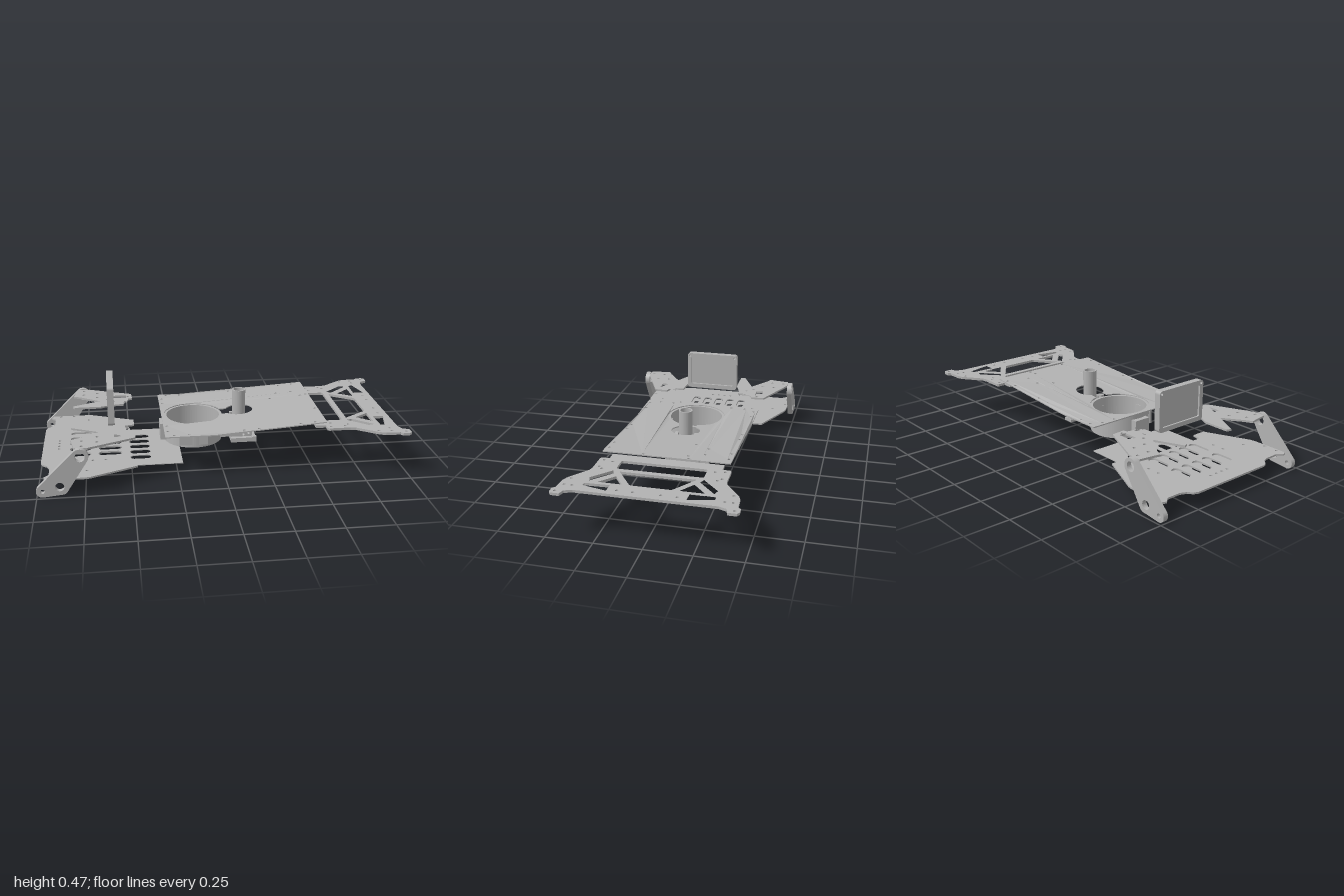
import * as THREE from 'three';

const grey = new THREE.MeshStandardMaterial({ color: 0xb2b2b2 });
grey.name = 'plain grey';

// Hole and outline helpers (2D)
const poly = (pts) => new THREE.Path(pts.map(([x, y]) => new THREE.Vector2(x, y)));
const circle = (x, y, r) => new THREE.Path().absarc(x, y, r, 0, Math.PI * 2, false);
const mirrored = (half) => [...half, ...half.slice().reverse().map(([x, z]) => [x, -z])];
const bothSides = (pts) => [pts, pts.map(([x, z]) => [x, -z])];
const rect = (x0, x1, y0, y1) => [[x0, y0], [x1, y0], [x1, y1], [x0, y1]];

function slot(x0, x1, y, r) {
  return new THREE.Path()
    .absarc(x1 - r, y, r, -Math.PI / 2, Math.PI / 2, false)
    .absarc(x0 + r, y, r, Math.PI / 2, Math.PI * 1.5, false);
}

function arcSlot(cx, r0, r1, a0, a1) {
  return new THREE.Path().absarc(cx, 0, r1, a0, a1, false).absarc(cx, 0, r0, a1, a0, true);
}

function roundedRect(x0, x1, y0, y1, r) {
  return new THREE.Path()
    .absarc(x1 - r, y0 + r, r, -Math.PI / 2, 0, false)
    .absarc(x1 - r, y1 - r, r, 0, Math.PI / 2, false)
    .absarc(x0 + r, y1 - r, r, Math.PI / 2, Math.PI, false)
    .absarc(x0 + r, y0 + r, r, Math.PI, Math.PI * 1.5, false);
}

function extrude(outline, holes, depth, segments = 12) {
  const shape = new THREE.Shape(outline.getPoints(segments));
  shape.holes = holes;
  return new THREE.ExtrudeGeometry(shape, { depth, bevelEnabled: false, curveSegments: segments });
}

// Horizontal plate: outline in x/z, from y0 up by its thickness
const flat = (outline, holes, y0, t, segments) =>
  extrude(outline, holes, t, segments).rotateX(-Math.PI / 2).translate(0, y0, 0);

export function createModel() {
  const model = new THREE.Group();
  const add = (name, geometry, x = 0, y = 0, z = 0) => {
    const mesh = new THREE.Mesh(geometry, grey);
    mesh.name = name;
    mesh.position.set(x, y, z);
    model.add(mesh);
    return mesh;
  };
  const box = (name, x0, x1, y0, y1, z0, z1) =>
    add(name, new THREE.BoxGeometry(x1 - x0, y1 - y0, z1 - z0), (x0 + x1) / 2, (y0 + y1) / 2, (z0 + z1) / 2);
  const screws = (list, r = 0.008) =>
    list.flatMap(([x, z]) => [circle(x, z, r), circle(x, -z, r)]);

  // Main deck, with a joined opening for the wheel and the post, rising towards +x
  const deckOpening = new THREE.Path()
    .absarc(-0.14, 0, 0.165, 0.25, Math.PI * 2 - 0.25, false)
    .absarc(0.125, 0, 0.08, Math.PI + 0.52, Math.PI * 3 - 0.52, false);
  const deckOutline = mirrored([[-0.32, -0.34], [-0.05, -0.34], [0.15, -0.34], [0.35, -0.34], [0.56, -0.34]].reverse());
  const deckScrews = screws([[-0.27, 0.32], [-0.19, 0.32], [0.11, 0.32], [0.19, 0.32], [0.42, 0.32],
    [0.5, 0.32], [-0.3, 0.26], [-0.3, 0.18], [0.545, 0.12]]);
  const deck = flat(poly(deckOutline),
    [deckOpening, ...deckScrews, circle(0.38, 0.19, 0.008), circle(0.47, 0.19, 0.008),
      circle(0.33, 0.11, 0.008), circle(0.51, 0.11, 0.008)], 0, 0.006);
  const p = deck.attributes.position;
  for (let i = 0; i < p.count; i++) {
    p.setY(i, p.getY(i) + 0.237 + Math.max(0, p.getX(i) + 0.05) * 0.074);
  }
  deck.computeVertexNormals();
  add('mainDeck', deck);

  // Rear truss plate
  const rearHalf = [[0.51, 0.3], [0.565, 0.3], [0.565, 0.34], [0.575, 0.348], [0.69, 0.348], [0.72, 0.355],
    [0.83, 0.435], [0.86, 0.445], [0.94, 0.45], [0.95, 0.465], [0.985, 0.465], [1, 0.455],
    [1, 0.41], [0.965, 0.4], [0.95, 0.36]];
  const rearHoles = [
    roundedRect(0.58, 0.675, -0.228, 0.228, 0.012),
    poly([[0.705, -0.2], [0.835, -0.11], [0.84, -0.1], [0.84, 0.1], [0.835, 0.11], [0.705, 0.2]]),
    ...bothSides([[0.7, 0.235], [0.8, 0.325], [0.835, 0.315], [0.73, 0.222]]).map(poly),
    ...bothSides([[0.76, 0.2], [0.84, 0.27], [0.84, 0.145]]).map(poly),
    ...bothSides([[0.865, 0.33], [0.89, 0.33], [0.92, 0.2], [0.86, 0.2]]).map(poly),
    ...screws([[0.59, 0.32], [0.67, 0.32], [0.6, 0.27], [0.69, 0.3], [0.83, 0.41], [0.9, 0.42],
      [0.9, 0.38], [0.975, 0.44], [0.905, 0.15], [0.905, 0.07]]),
  ];
  add('rearPlate', flat(poly(mirrored(rearHalf)), rearHoles, 0.238, 0.014));

  // Slotted lower plates
  const slotRows = [-0.15, -0.075, 0, 0.075, 0.15];
  const slotsFor = (columns) => columns.flatMap(([a, b]) => slotRows.map((z) => slot(a, b, z, 0.024)));
  const noseHalf = [[-0.99, 0.24], [-0.98, 0.265], [-0.955, 0.285], [-0.94, 0.32], [-0.94, 0.4],
    [-0.965, 0.43], [-0.955, 0.455], [-0.75, 0.455], [-0.72, 0.45], [-0.47, 0.34], [-0.47, 0.26], [-0.525, 0.25]];
  add('nosePlate', flat(poly(mirrored(noseHalf)), [
    ...slotsFor([[-0.84, -0.72], [-0.68, -0.55]]),
    ...screws([[-0.91, 0.44], [-0.83, 0.44], [-0.9, 0.06], [-0.9, 0.02], [-0.74, 0.37], [-0.64, 0.24], [-0.71, 0.24]]),
  ], 0.078, 0.01));
  const skidHalf = [[-0.89, 0.21], [-0.87, 0.245], [-0.83, 0.26], [-0.22, 0.26]];
  add('skidPlate', flat(poly(mirrored(skidHalf)),
    slotsFor([[-0.84, -0.72], [-0.68, -0.55], [-0.505, -0.39]]), 0.051, 0.004));

  // Upper bracket plates and slanted arms, one on each side
  const bracket = [[-0.8, 0.455], [-0.73, 0.455], [-0.48, 0.345], [-0.475, 0.27], [-0.52, 0.255], [-0.53, 0.175],
    [-0.61, 0.17], [-0.66, 0.145], [-0.81, 0.145], [-0.82, 0.17], [-0.665, 0.24], [-0.78, 0.32], [-0.82, 0.34],
    [-0.81, 0.39]];
  const armOutline = new THREE.Path()
    .absarc(-0.97, 0.033, 0.033, Math.PI * 0.75, Math.PI * 1.5, false)
    .absarc(-0.87, 0.045, 0.035, -Math.PI * 0.42, -0.45, false)
    .absarc(-0.77, 0.215, 0.044, -0.45, Math.PI * 0.75, false);
  for (const s of [1, -1]) {
    const side = s > 0 ? 'left' : 'right';
    const holes = [rect(-0.59, -0.51, 0.285, 0.325), rect(-0.59, -0.51, 0.19, 0.225)]
      .map((h) => poly(h.map(([x, z]) => [x, -s * z])));
    holes.push(...[[-0.76, 0.43], [-0.76, 0.36], [-0.68, 0.38], [-0.68, 0.31], [-0.62, 0.26], [-0.5, 0.3]]
      .map(([x, z]) => circle(x, -s * z, 0.009)));
    add(side + 'Bracket', flat(poly(bracket.map(([x, z]) => [x, -s * z])), holes, 0.243, 0.011));
    const arm = extrude(armOutline, [circle(-0.97, 0.033, 0.012), circle(-0.88, 0.055, 0.024),
      circle(-0.77, 0.215, 0.026)], 0.028);
    add(side + 'Arm', arm, 0, 0, s > 0 ? 0.457 : -0.485);
  }

  // Upright screen: a rounded frame around a recessed panel
  const frame = extrude(roundedRect(-0.157, 0.157, 0.25, 0.475, 0.018), [
    roundedRect(-0.133, 0.133, 0.275, 0.45, 0.008),
    circle(-0.142, 0.459, 0.007), circle(0.142, 0.459, 0.007)], 0.036);
  add('screenFrame', frame.rotateY(Math.PI / 2), -0.62, 0, 0.003);
  box('screenPanel', -0.61, -0.597, 0.27, 0.455, -0.132, 0.138);

  // Wheel drum: outer wall, slotted floor and inner rings
  const cx = -0.14;
  const ring = (name, r0, r1, y0, y1) =>
    add(name, flat(circle(cx, 0, r1), [circle(cx, 0, r0)], y0, y1 - y0, 48));
  ring('drumWall', 0.152, 0.164, 0.1, 0.238);
  ring('drumInnerRing', 0.088, 0.098, 0.1, 0.125);
  ring('drumHub', 0.05, 0.062, 0.1, 0.135);
  const floorHoles = [circle(cx, 0, 0.05)];
  for (let i = 0; i < 6; i++) {
    const a = i * Math.PI / 3;
    floorHoles.push(arcSlot(cx, 0.102, 0.142, a + 0.16, a + 0.85));
    if (i % 2) floorHoles.push(arcSlot(cx, 0.066, 0.086, a + 0.1, a + 1.7));
  }
  add('drumFloor', flat(circle(cx, 0, 0.16), floorHoles, 0.1, 0.01, 48));
  box('drumSideBlock', -0.33, -0.295, 0.11, 0.205, -0.05, 0.05);
  box('drumFrontLug', -0.23, -0.07, 0.115, 0.2, 0.148, 0.163);

  // Post mechanism: base, post, perforated sectors and small motor
  box('mechanismBase', 0.07, 0.215, 0.09, 0.115, -0.095, 0.095);
  box('drumLink', 0.01, 0.085, 0.115, 0.19, -0.04, 0.065);
  add('post', flat(circle(0.125, 0, 0.038), [circle(0.125, 0, 0.03)], 0.115, 0.263, 32));
  add('postCore', new THREE.CylinderGeometry(0.032, 0.032, 0.2, 32), 0.125, 0.21, 0);
  ring('drumTopLip', 0.15, 0.166, 0.225, 0.238);
  const sector = new THREE.Path().moveTo(0.075, 0.11).lineTo(0.18, 0.11)
    .absarc(0.085, 0.115, 0.11, 0, Math.PI * 0.52, false);
  const sectorHoles = [];
  for (let i = 0; i < 5; i++) {
    const a = 0.2 + i * 0.28;
    for (const r of [0.06, 0.09]) {
      sectorHoles.push(circle(0.085 + r * Math.cos(a), 0.115 + r * Math.sin(a), 0.007));
    }
  }
  for (const z of [0.05, -0.06]) add('perforatedSector', extrude(sector, sectorHoles, 0.02), 0, 0, z);
  add('motor', new THREE.CylinderGeometry(0.024, 0.024, 0.07, 24), 0.15, 0.14, -0.12);
  box('motorMount', 0.12, 0.18, 0.17, 0.185, -0.145, -0.05);
  box('motorFoot', 0.12, 0.18, 0.09, 0.107, -0.145, -0.09);
  for (const z of [-0.075, 0.085]) box('baseLug', 0.19, 0.217, 0.09, 0.12, z - 0.012, z + 0.012);

  return model;
}
